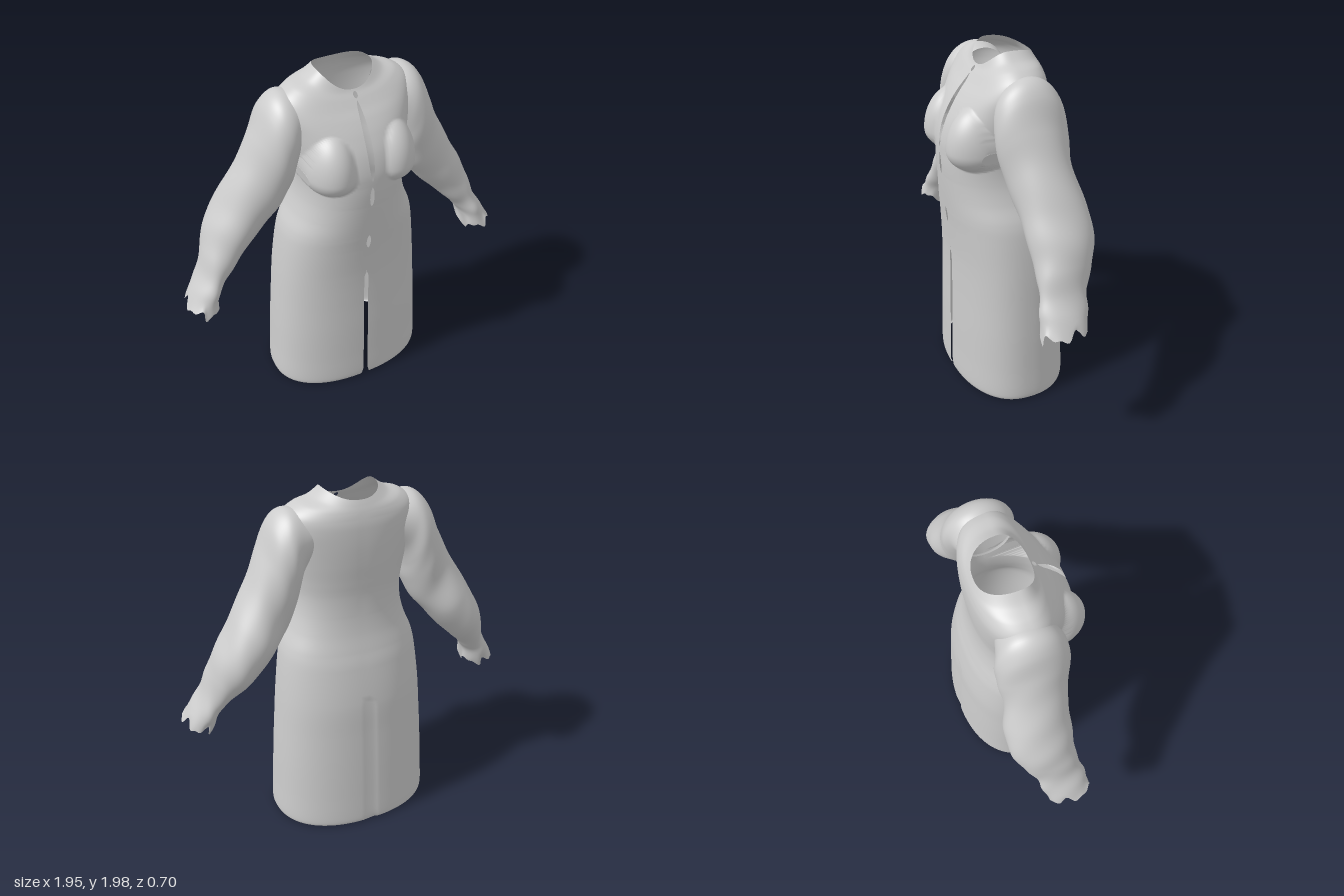
import * as THREE from 'three';
import { mergeVertices } from 'three/addons/utils/BufferGeometryUtils.js';

const CX = -0.015; // centre line of the coat

// Smooth interpolation through a list of cross-section rows
function sample(rows, t) {
  const last = rows.length - 1;
  const i = Math.min(Math.floor(t), last - 1), f = t - i;
  const at = k => rows[Math.max(0, Math.min(last, k))];
  const [a, b, c, d] = [at(i - 1), at(i), at(i + 1), at(i + 2)];
  return b.map((p, k) => p + 0.5 * f * (c[k] - a[k] + f * (2 * a[k] - 5 * p + 4 * c[k] - d[k]
    + f * (3 * (p - c[k]) + d[k] - a[k]))));
}

// Surface from a grid of points, point(u, v) with u around and v along
function loft(nu, nv, point) {
  const pos = [], idx = [];
  for (let j = 0; j <= nv; j++) {
    for (let i = 0; i <= nu; i++) pos.push(...point(i / nu, j / nv));
  }
  for (let j = 0; j < nv; j++) {
    for (let i = 0; i < nu; i++) {
      const a = j * (nu + 1) + i, c = a + nu + 1;
      idx.push(a, a + 1, c, a + 1, c + 1, c);
    }
  }
  const g = new THREE.BufferGeometry();
  g.setAttribute('position', new THREE.Float32BufferAttribute(pos, 3));
  g.setIndex(idx);
  const welded = mergeVertices(g, 1e-5);
  welded.computeVertexNormals();
  return welded;
}

// Skirt and waist rows: half width, height, front z, back z
const LOWER = [
  [0.455, 0.00, 0.285, -0.335],
  [0.468, 0.03, 0.300, -0.345],
  [0.460, 0.20, 0.298, -0.338],
  [0.450, 0.40, 0.295, -0.328],
  [0.436, 0.60, 0.290, -0.316],
  [0.420, 0.80, 0.290, -0.303],
  [0.396, 1.00, 0.302, -0.270],
  [0.374, 1.10, 0.312, -0.245],
  [0.332, 1.20, 0.322, -0.220],
  [0.304, 1.30, 0.330, -0.205],
  [0.296, 1.40, 0.335, -0.200],
  [0.308, 1.50, 0.332, -0.205],
  [0.328, 1.60, 0.308, -0.212],
];
// Chest and shoulder rows: half width, height at side, front z, back z, height at front and back
const UPPER = [
  [0.350, 1.71, 0.265, -0.215, 1.69, 1.70],
  [0.365, 1.80, 0.220, -0.213, 1.76, 1.78],
  [0.350, 1.87, 0.180, -0.208, 1.81, 1.83],
  [0.290, 1.915, 0.150, -0.196, 1.85, 1.88],
  [0.210, 1.94, 0.130, -0.182, 1.875, 1.915],
  [0.150, 1.98, 0.120, -0.170, 1.89, 1.94],
];
const BODY = [...LOWER.map(r => [...r, r[1], r[1]]), ...UPPER];

// Front openings: bottom, top, half width
const GAPS = [[1.00, 1.09, 0.013], [1.30, 1.42, 0.013], [1.46, 1.84, 0.018], [1.85, 1.88, 0.012]];
function gapAt(y) {
  if (y < 0.82) return 0.013 * Math.min(1, (0.82 - y) / 0.03) + 0.015 * Math.max(0, 1 - y / 0.06);
  const g = GAPS.find(([lo, hi]) => y > lo && y < hi);
  return g ? g[2] * Math.sqrt(Math.sin(Math.PI * (y - g[0]) / (g[1] - g[0]))) : 0;
}

function bodyPoint(u, v) {
  const [w, yS, zF, zB, yF, yB] = sample(BODY, v * (BODY.length - 1));
  const th = u * Math.PI * 2;
  const s = u === 1 ? 0 : Math.sin(th), c = Math.cos(th);
  const power = 2 / 2.3; // slightly squared oval
  let x = w * Math.sign(s) * Math.abs(s) ** power;
  let z = Math.abs(c) ** power * (c > 0 ? zF : zB);
  const y = yS * s * s + (c > 0 ? yF : yB) * c * c;
  // bust: fuller below, long slope above
  if (c > 0) {
    const dx = (Math.abs(x) - 0.165) / 0.145, dy = (y - 1.49) / (y > 1.49 ? 0.24 : 0.125);
    const r = 1 - dx * dx - dy * dy;
    if (r > 0) z = Math.max(z, 0.17 + 0.185 * Math.sqrt(r));
  }
  // back seam groove in the skirt
  if (Math.abs(u - 0.5) < 0.003 && y < 0.83) z += 0.007;
  // front seam parted into openings
  const side = u < 0.5 ? 1 : -1;
  x += side * gapAt(y) * Math.exp(-Math.abs(x) / 0.07);
  return [CX + x, y, z];
}

// Sleeve rows: outer x, y, inner x, y, front z, back z
const SLEEVE = [
  [0.25, 1.88, 0.24, 1.62, 0.11, -0.16],
  [0.36, 1.90, 0.28, 1.56, 0.155, -0.185],
  [0.44, 1.83, 0.305, 1.48, 0.178, -0.208],
  [0.505, 1.69, 0.33, 1.38, 0.17, -0.21],
  [0.58, 1.53, 0.385, 1.26, 0.14, -0.20],
  [0.685, 1.345, 0.47, 1.155, 0.12, -0.24],
  [0.77, 1.20, 0.58, 1.03, 0.11, -0.235],
  [0.82, 1.07, 0.675, 0.935, 0.11, -0.185],
  [0.86, 0.95, 0.745, 0.865, 0.12, -0.14],
  [0.915, 0.85, 0.785, 0.805, 0.14, -0.12],
  [0.965, 0.765, 0.805, 0.715, 0.15, -0.10],
];

function sleevePoint(side, u, v) {
  const [ox, oy, ix, iy, zF, zB] = sample(SLEEVE, v * (SLEEVE.length - 1));
  const th = u * Math.PI * 2 * side;
  // soft cloth folds, stronger towards the cuff
  const fold = 1 + (0.012 + 0.035 * v * v) * Math.sin(v * 34 + 2 * Math.sin(th + 1)) * Math.sin(2 * th + v * 9);
  const c = Math.cos(th) * fold, s = Math.sin(th) * fold;
  // ragged cuff edge
  const rag = Math.max(0, v - 0.92) / 0.08 * (0.018 * Math.sin(5 * th) + 0.012 * Math.sin(9 * th + 1));
  const x = (ox + ix) / 2 + c * (ox - ix) / 2 + rag * 0.5;
  const y = (oy + iy) / 2 + c * (oy - iy) / 2 - rag;
  return [CX + side * x, y, (zF + zB) / 2 + s * (zF - zB) / 2];
}

export function createModel() {
  const cloth = new THREE.MeshStandardMaterial({ color: 0xcccccc, side: THREE.DoubleSide });
  cloth.name = 'grey cloth';
  const coat = new THREE.Group();
  coat.name = 'coat';
  const add = (name, geometry) => {
    const mesh = new THREE.Mesh(geometry, cloth);
    mesh.name = name;
    coat.add(mesh);
  };
  add('coatBody', loft(144, 216, bodyPoint));
  add('leftSleeve', loft(64, 100, (u, v) => sleevePoint(1, u, v)));
  add('rightSleeve', loft(64, 100, (u, v) => sleevePoint(-1, u, v)));
  return coat;
}
